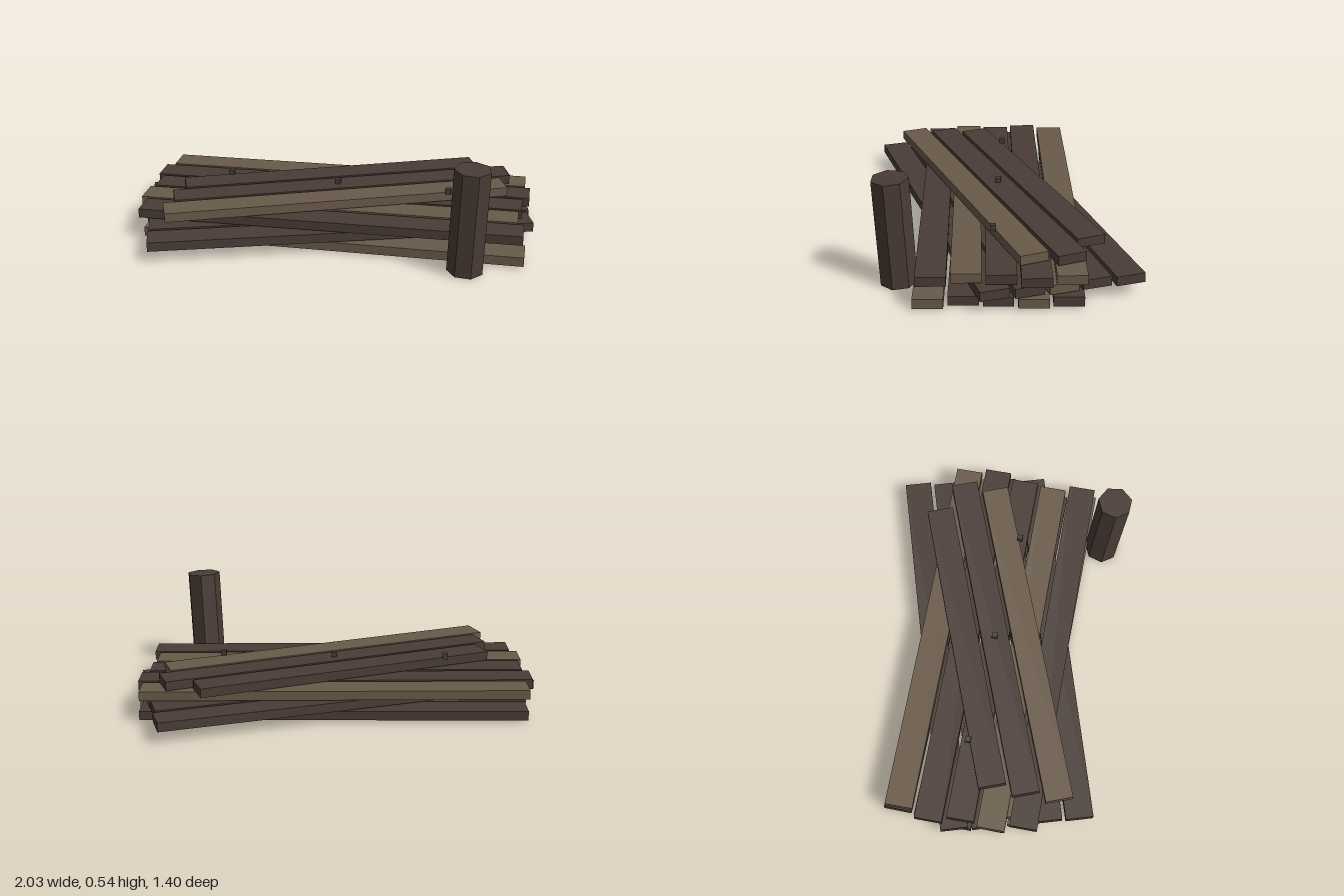
import * as THREE from 'three';

const darkWood = new THREE.MeshStandardMaterial({ name: 'darkWood', color: 0x4a3c36, side: THREE.DoubleSide });
const lightWood = new THREE.MeshStandardMaterial({ name: 'lightWood', color: 0x6a5b49, side: THREE.DoubleSide });
const nailIron = new THREE.MeshStandardMaterial({ name: 'nailIron', color: 0x45403e });

const THICK = 0.046;
const WIDTH = 0.139;
const PITCH = 0.157;

// Each layer runs from back to front; a plank is [start, end, isLight]
const layers = [
  { name: 'bottomLayer', y: 0.033, angle: 2.5, planks: [
    [-0.95, 0.95, 0], [-0.96, 0.97, 1], [-0.98, 0.95, 0], [-0.96, 0.94, 0], [-0.92, 0.97, 1]] },
  { name: 'crossLayer', y: 0.084, angle: 20.3, planks: [
    [-0.95, 0.98, 0], [-0.96, 0.965, 0], [-0.925, 0.965, 1], [-0.965, 0.95, 0], [-0.97, 0.93, 0]] },
  { name: 'upperLayer', y: 0.137, angle: 3.3, planks: [
    [-0.95, 0.95, 1], [-0.99, 0.975, 0], [-0.96, 0.94, 0], [-0.98, 0.925, 1], [-0.945, 0.955, 0]] },
  { name: 'topLayer', y: 0.189, angle: 24.2, planks: [
    [-0.77, 0.77, 0], [-0.84, 0.9, 0], [-0.9, 0.835, 1]] },
];

// Hollow plank: a box with its underside left open
function plankGeometry(length) {
  const geometry = new THREE.BoxGeometry(length, THICK, WIDTH);
  const index = Array.from(geometry.index.array);
  index.splice(18, 6);
  geometry.setIndex(index);
  geometry.clearGroups();
  return geometry;
}

function addMesh(parent, name, geometry, material, x, y, z) {
  const mesh = new THREE.Mesh(geometry, material);
  mesh.name = name;
  mesh.position.set(x, y, z);
  parent.add(mesh);
  return mesh;
}

export function createModel() {
  const model = new THREE.Group();
  model.name = 'plankPile';

  // Stacked planks, each layer turned about the centre
  for (const { name, y, angle, planks } of layers) {
    const layer = new THREE.Group();
    layer.name = name;
    layer.position.y = y;
    layer.rotation.y = THREE.MathUtils.degToRad(angle);
    planks.forEach(([start, end, isLight], i) => {
      const z = (i - (planks.length - 1) / 2) * PITCH;
      addMesh(layer, 'plank', plankGeometry(end - start), isLight ? lightWood : darkWood,
        (start + end) / 2, 0, z);
    });
    model.add(layer);
  }

  // Nail heads along the middle
  for (const x of [-0.57, 0, 0.57]) {
    addMesh(model, 'nail', new THREE.BoxGeometry(0.028, 0.028, 0.028), nailIron, x, 0.221, 0);
  }

  // Leaning seven-sided post, flat side to the front
  const postGeometry = new THREE.CylinderGeometry(0.088, 0.088, 0.526, 7, 1, false, Math.PI).toNonIndexed();
  postGeometry.computeVertexNormals();
  const post = addMesh(model, 'post', postGeometry, darkWood, 0.727, 0.268, 0.442);
  post.rotation.set(0.045, 0, -0.04);

  return model;
}
